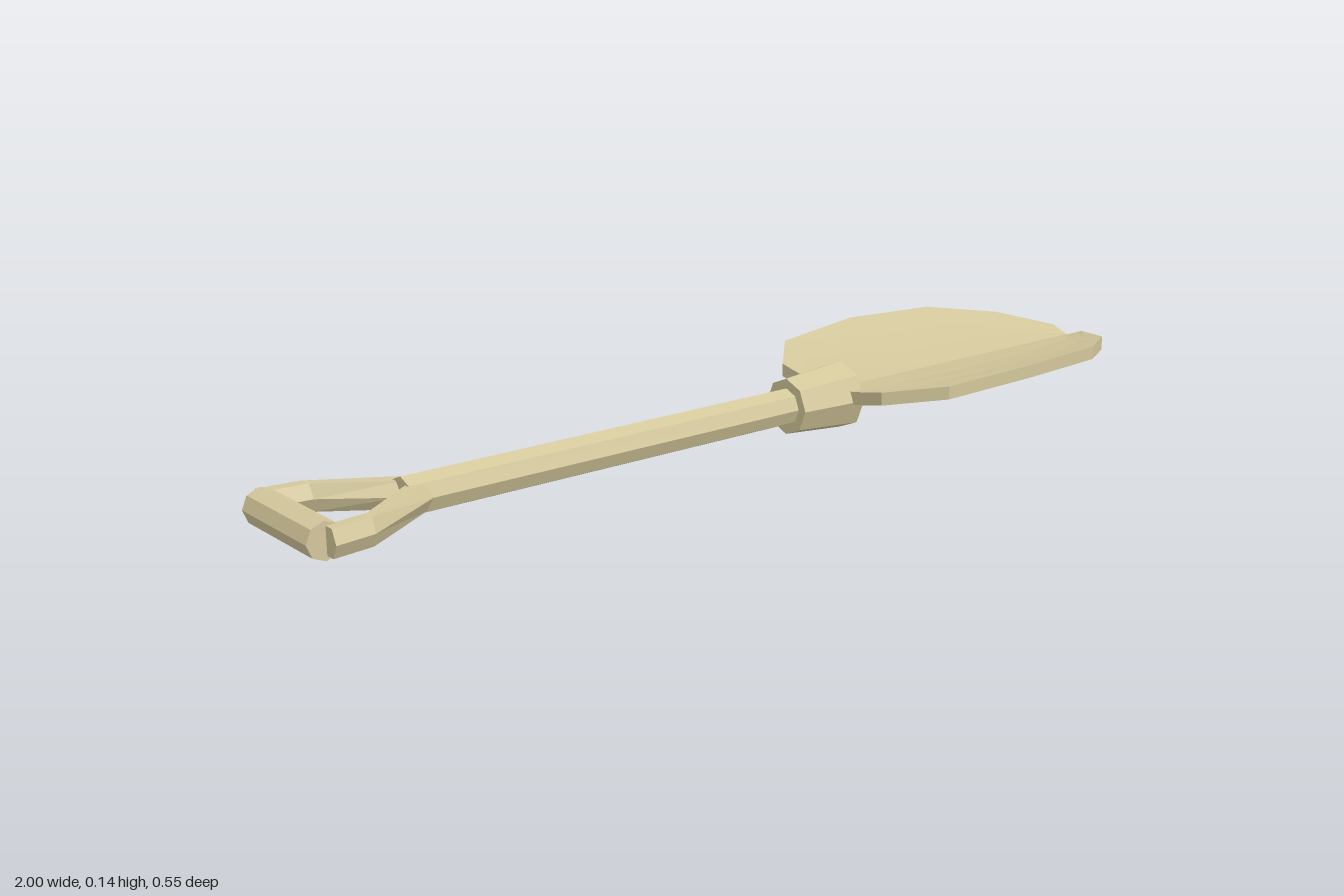
import * as THREE from 'three';

const AXIS_Y = 0.072; // height of the shaft axis

// Skin a series of equal rings (even point count) and close both ends.
function loft(rings) {
  const n = rings[0].length, pos = rings.flat(2), tris = [];
  const quad = (a, b, c, d) => tris.push([a, b, c], [a, c, d]);
  for (let r = 0; r < rings.length - 1; r++) {
    for (let i = 0; i < n; i++) {
      const j = (i + 1) % n, a = r * n, b = a + n;
      quad(a + i, a + j, b + j, b + i);
    }
  }
  const e = (rings.length - 1) * n;
  for (let i = 0; i < n / 2 - 1; i++) {
    quad(n - 1 - i, n - 2 - i, i + 1, i);
    quad(e + i, e + i + 1, e + n - 2 - i, e + n - 1 - i);
  }
  // turn the faces outward whichever way the rings run
  const p = (i) => new THREE.Vector3().fromArray(pos, i * 3);
  const volume = tris.reduce((s, [a, b, c]) => s + p(a).dot(p(b).cross(p(c))), 0);
  if (volume < 0) tris.forEach((t) => t.reverse());
  const g = new THREE.BufferGeometry();
  g.setAttribute('position', new THREE.Float32BufferAttribute(pos, 3));
  g.setIndex(tris.flat());
  const flat = g.toNonIndexed();
  flat.computeVertexNormals();
  return flat;
}

// Dished blade: [x, half width, height of rim underside, thickness]
function bladeGeometry() {
  const stations = [
    [0.257, 0.15, 0.084, 0.027],
    [0.35, 0.247, 0.101, 0.027],
    [0.57, 0.273, 0.115, 0.027],
    [0.79, 0.247, 0.111, 0.028],
    [0.93, 0.158, 0.092, 0.03],
    [1.0, 0.042, 0.066, 0.036],
  ];
  const across = [-1, -2 / 3, -1 / 3, 0, 1 / 3, 2 / 3, 1];
  return loft(stations.map(([x, w, rim, t]) => {
    const under = across.map((f) => [x, 0.06 + (rim - 0.06) * Math.abs(f) ** 1.35, f * w]);
    const over = under.map(([px, y, z], i) => [px, y + 0.027 + (t - 0.027) * Math.abs(across[i]), z]);
    return [...over, ...under.reverse()];
  }));
}

// One hexagonal fork arm, given by its outer and inner edges: [x, z, x, z]
function armGeometry(side) {
  const edges = [
    [-0.71, 0.035, -0.76, 0],
    [-0.885, 0.137, -0.878, 0.088],
    [-0.963, 0.147, -0.963, 0.098],
  ];
  return loft(edges.map(([ox, oz, ix, iz]) => {
    const ring = [];
    for (let k = 0; k < 6; k++) {
      const a = (k * Math.PI) / 3, c = Math.cos(a) / 2;
      ring.push([
        (ox + ix) / 2 + (ox - ix) * c,
        AXIS_Y + 0.03 * Math.sin(a),
        side * ((oz + iz) / 2 + (oz - iz) * c),
      ]);
    }
    return ring;
  }));
}

// Octagonal bar along x
function bar(x0, x1, r0, r1) {
  return new THREE.CylinderGeometry(r1, r0, x1 - x0, 8)
    .rotateZ(-Math.PI / 2)
    .translate((x0 + x1) / 2, AXIS_Y, 0)
    .toNonIndexed();
}

export function createModel() {
  const model = new THREE.Group();
  model.name = 'shovel';
  const sand = new THREE.MeshStandardMaterial({ color: 0xd3c79b, flatShading: true });
  sand.name = 'sand';
  const add = (name, geometry) => {
    const mesh = new THREE.Mesh(geometry, sand);
    mesh.name = name;
    model.add(mesh);
  };

  add('shaft', bar(-0.757, 0.15, 0.038, 0.038));
  add('socket', bar(0.135, 0.285, 0.058, 0.071));
  add('blade', bladeGeometry());
  add('leftForkArm', armGeometry(1));
  add('rightForkArm', armGeometry(-1));
  add('grip', new THREE.CylinderGeometry(0.035, 0.035, 0.228, 8)
    .rotateX(Math.PI / 2)
    .translate(-0.965, AXIS_Y, 0));
  return model;
}
